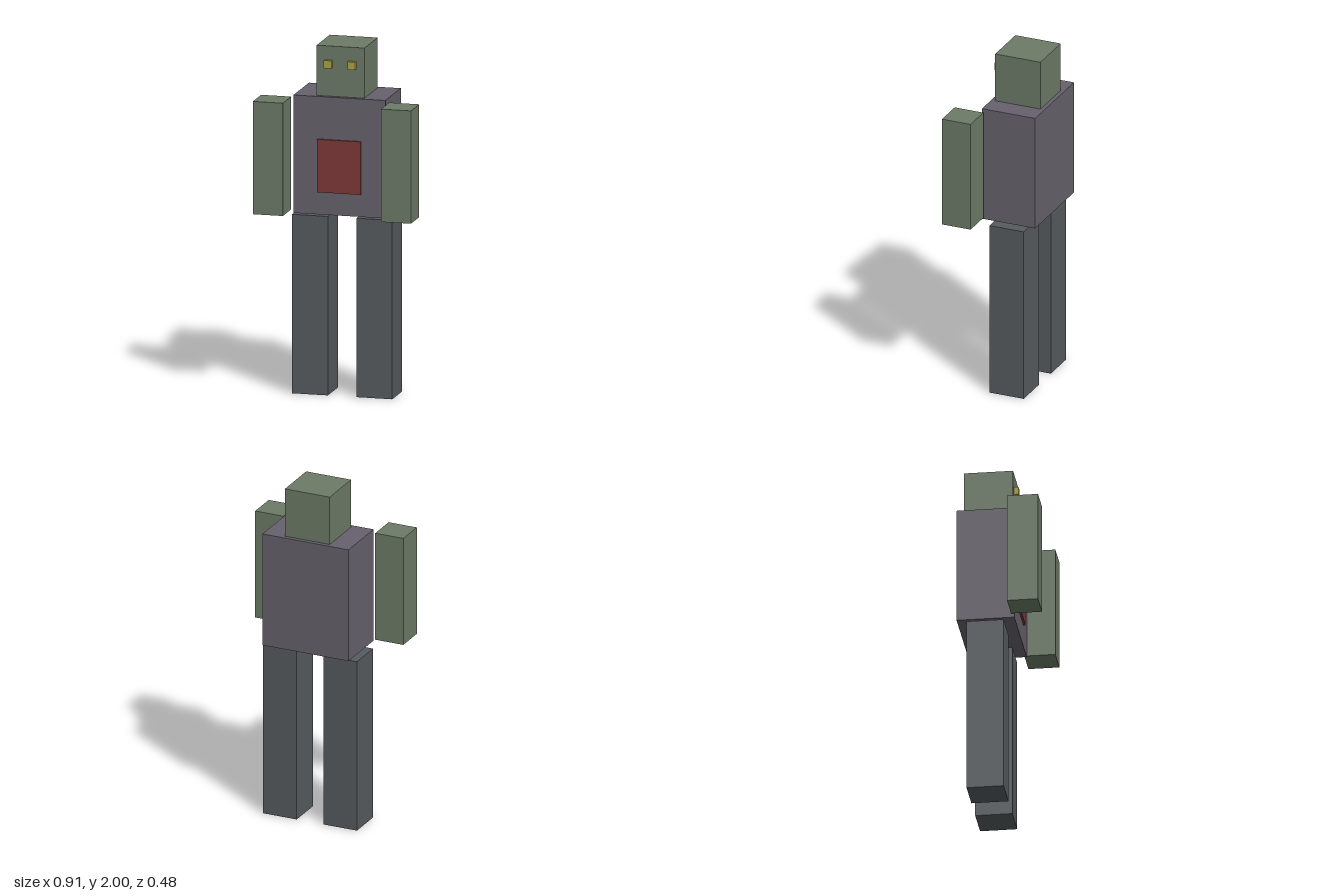
import * as THREE from 'three';

const mat = (color) => new THREE.MeshStandardMaterial({ color });

export function createModel() {
  const model = new THREE.Group();
  model.name = 'blockRobot';

  const green = mat(0x6c7a67);
  const purple = mat(0x66616c);
  const slate = mat(0x565b5e);
  const red = mat(0x7e3838);
  const yellow = mat(0xaaa143);

  // Box given by its extents on each axis
  const block = (name, material, [x0, x1], [y0, y1], [z0, z1]) => {
    const mesh = new THREE.Mesh(new THREE.BoxGeometry(x1 - x0, y1 - y0, z1 - z0), material);
    mesh.position.set((x0 + x1) / 2, (y0 + y1) / 2, (z0 + z1) / 2);
    mesh.name = name;
    model.add(mesh);
  };

  // Mirrored pair of boxes, measured on the +x side
  const pair = (name, material, [x0, x1], y, z) => {
    block('left' + name, material, [x0, x1], y, z);
    block('right' + name, material, [-x1, -x0], y, z);
  };

  // Body and head
  block('torso', purple, [-0.265, 0.265], [1.042, 1.714], [-0.242, 0.082]);
  block('head', green, [-0.138, 0.138], [1.714, 2], [-0.218, 0.058]);

  // Chest panel
  block('chestPanel', red, [-0.126, 0.126], [1.17, 1.472], [0.082, 0.094]);

  // Eyes, arms held forward of the body, and legs
  pair('Eye', yellow, [0.046, 0.091], [1.877, 1.921], [0.058, 0.083]);
  pair('Arm', green, [0.283, 0.456], [1.057, 1.7], [0.066, 0.24]);
  pair('Leg', slate, [0.082, 0.289], [0, 1.02], [-0.183, 0.025]);

  return model;
}
